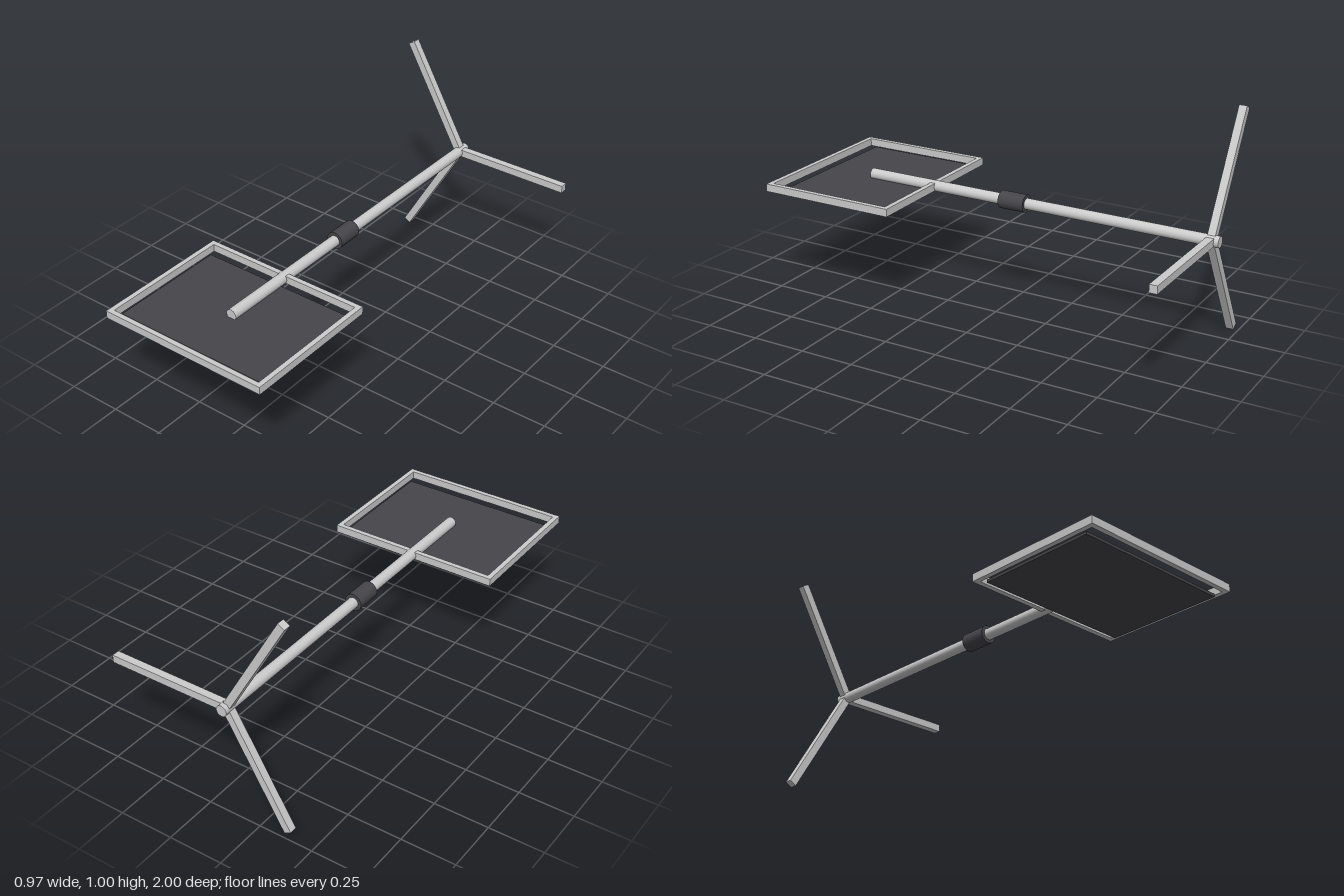
import * as THREE from 'three';

export function createModel() {
  const model = new THREE.Group();
  const grey = new THREE.MeshStandardMaterial({ color: 0xcccccc });
  const dark = new THREE.MeshStandardMaterial({ color: 0x46464a });
  const axisX = -0.085, axisY = 0.502, bar = 0.035;

  const add = (name, geometry, material, x, y, z, parent = model) => {
    const mesh = new THREE.Mesh(geometry, material);
    mesh.name = name;
    mesh.position.set(x, y, z);
    parent.add(mesh);
    return mesh;
  };
  // Cylinder lying along z between two ends
  const rod = (name, radius, z0, z1, material) =>
    add(name, new THREE.CylinderGeometry(radius, radius, z1 - z0, 24).rotateX(Math.PI / 2),
      material, axisX, axisY, (z0 + z1) / 2);

  // Central pole and its grip collar
  rod('pole', 0.025, -1, 0.7, grey);
  rod('collar', 0.04, -0.105, 0.018, dark);

  // Three legs spread evenly around the pole
  const legLength = 0.57;
  for (let i = 0; i < 3; i++) {
    const geometry = new THREE.BoxGeometry(legLength, bar, bar).translate(legLength / 2, 0, 0);
    add('leg', geometry, grey, axisX, axisY, -0.962).rotation.z = i * Math.PI * 2 / 3;
  }

  // Rectangular frame made of four rails
  const frame = new THREE.Group();
  frame.name = 'frame';
  frame.position.set(axisX, axisY, 0.677);
  model.add(frame);
  const width = 0.806, depth = 0.646, rail = 0.023;
  for (const s of [-1, 1]) {
    add('crossRail', new THREE.BoxGeometry(width, bar, rail), grey,
      0, 0, s * (depth - rail) / 2, frame);
    add('sideRail', new THREE.BoxGeometry(rail, bar, depth - 2 * rail), grey,
      s * (width - rail) / 2, 0, 0, frame);
  }

  // Dark panel just under the frame opening
  add('panel', new THREE.BoxGeometry(0.746, 0.013, 0.538), dark, axisX, 0.479, 0.675);

  return model;
}
